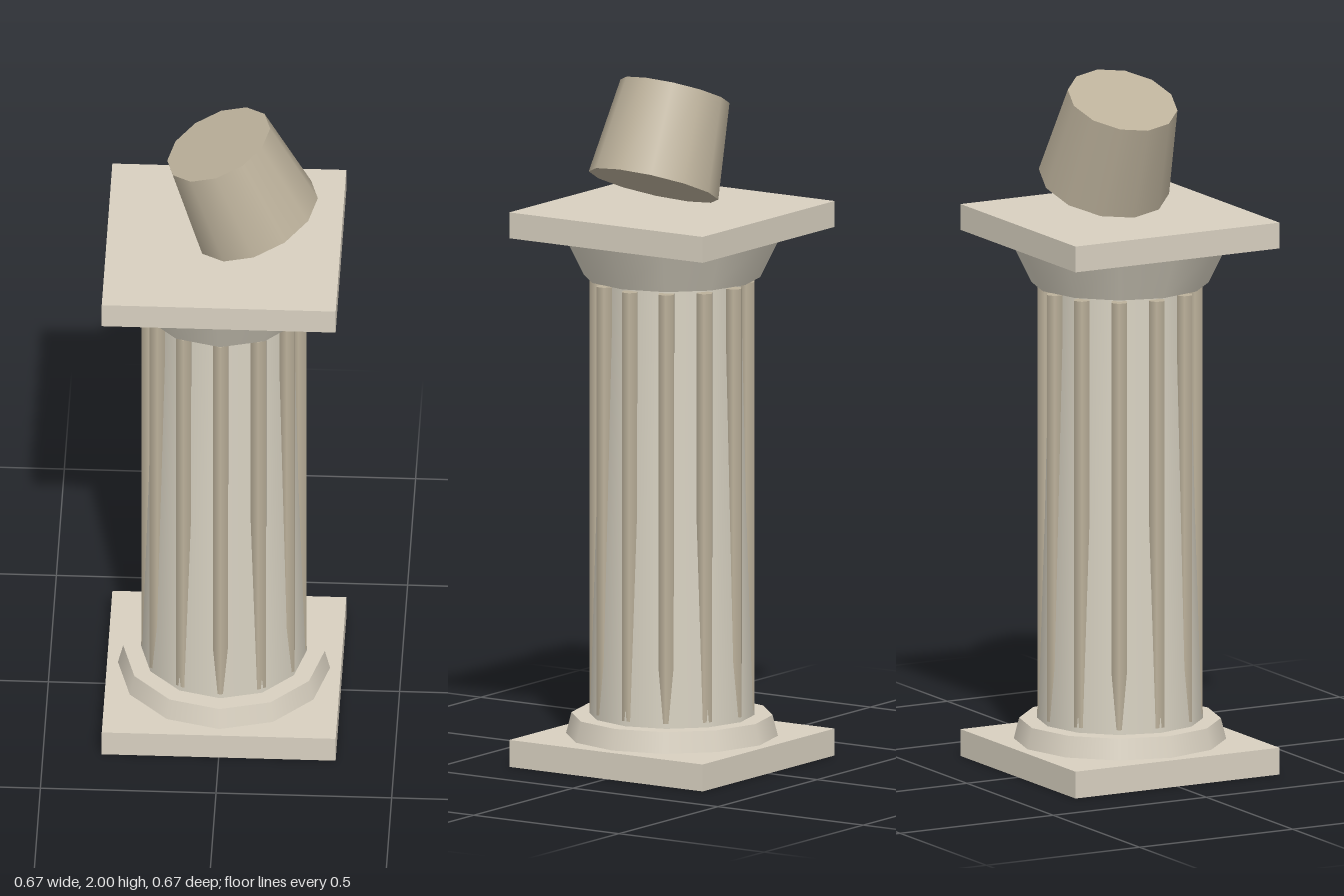
import * as THREE from 'three';

const SIDES = 12;
const paleStone = new THREE.MeshStandardMaterial({ color: 0xd8d0c0 });
const shaftStone = new THREE.MeshStandardMaterial({ color: 0xd8d2c2 });
const darkStone = new THREE.MeshStandardMaterial({ color: 0xbcb19b });

function part(parent, name, geometry, material, x, y, z) {
  const mesh = new THREE.Mesh(geometry, material);
  mesh.name = name;
  mesh.position.set(x, y, z);
  parent.add(mesh);
  return mesh;
}

// Tapered round section standing between two heights
function drum(parent, name, rTop, rBottom, y0, y1, material) {
  const geometry = new THREE.CylinderGeometry(rTop, rBottom, y1 - y0, SIDES);
  return part(parent, name, geometry, material, 0, (y0 + y1) / 2, 0);
}

// Square slab standing between two heights
function slab(parent, name, y0, y1) {
  const geometry = new THREE.BoxGeometry(0.666, y1 - y0, 0.666);
  return part(parent, name, geometry, paleStone, 0, (y0 + y1) / 2, 0);
}

export function createModel() {
  const column = new THREE.Group();
  column.name = 'brokenColumn';

  // Base, shaft and capital
  slab(column, 'plinth', 0, 0.078);
  drum(column, 'baseRing', 0.287, 0.302, 0.078, 0.138, paleStone);
  drum(column, 'shaft', 0.202, 0.236, 0.138, 1.405, shaftStone);
  drum(column, 'capital', 0.313, 0.252, 1.405, 1.53, shaftStone);
  slab(column, 'abacus', 1.53, 1.605);

  // Upright six-sided ribs around the tapering shaft
  const ribs = new THREE.Group();
  ribs.name = 'shaftRibs';
  const ribGeometry = new THREE.CylinderGeometry(0.025, 0.025, 1.24, 6);
  for (let i = 0; i < 12; i++) {
    const a = (i / 12) * Math.PI * 2;
    part(ribs, 'rib', ribGeometry, darkStone, Math.cos(a) * 0.213, 0.772, Math.sin(a) * 0.213);
  }
  column.add(ribs);

  // Broken drum resting tilted on the abacus
  const broken = part(column, 'brokenDrum',
    new THREE.CylinderGeometry(0.159, 0.189, 0.278, SIDES), darkStone, 0.039, 1.809, 0);
  broken.rotation.z = 0.4;

  return column;
}
